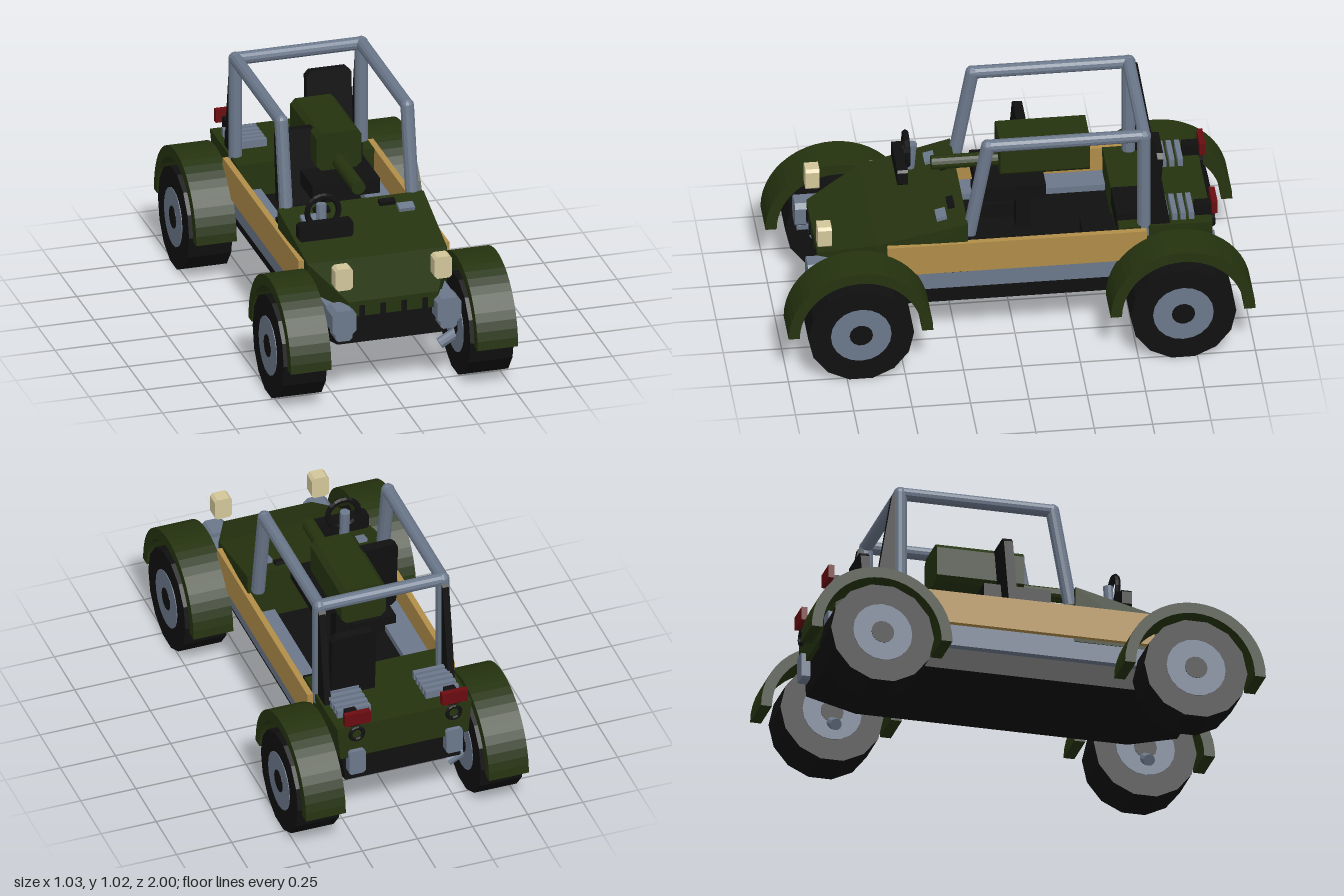
import * as THREE from 'three';
import { ConvexGeometry } from 'three/addons/geometries/ConvexGeometry.js';

const paint = (name, color) => {
  const m = new THREE.MeshStandardMaterial({ color, flatShading: true });
  m.name = name;
  return m;
};

export function createModel() {
  const group = new THREE.Group();
  const green = paint('olive green', 0x25330f);
  const black = paint('black', 0x101010);
  const grey = paint('steel grey', 0x6b788b);
  const tan = paint('tan', 0xb08d49);
  const cream = paint('lamp cream', 0xd2c69a);
  const red = paint('tail red', 0x6a0c10);
  const V = (x, y, z) => new THREE.Vector3(x, y, z);

  const add = (name, geo, mat, x = 0, y = 0, z = 0) => {
    const mesh = new THREE.Mesh(geo, mat);
    mesh.name = name;
    mesh.position.set(x, y, z);
    group.add(mesh);
    return mesh;
  };
  // box given by its limits on each axis
  const box = (name, mat, x0, x1, y0, y1, z0, z1) =>
    add(name, new THREE.BoxGeometry(x1 - x0, y1 - y0, z1 - z0), mat,
      (x0 + x1) / 2, (y0 + y1) / 2, (z0 + z1) / 2);
  // box with its four long corners cut, extruded along z
  const cutBox = (name, mat, x0, x1, y0, y1, z0, z1, c) => {
    const s = new THREE.Shape([[x0 + c, y0], [x1 - c, y0], [x1, y0 + c], [x1, y1 - c],
      [x1 - c, y1], [x0 + c, y1], [x0, y1 - c], [x0, y0 + c]].map(p => new THREE.Vector2(...p)));
    return add(name, new THREE.ExtrudeGeometry(s, { depth: z1 - z0, bevelEnabled: false }), mat, 0, 0, z0);
  };
  // convex solid from symmetric sections [z, halfBottom, yBottom, halfTop, yTop]
  const hull = (name, mat, sections) => add(name, new ConvexGeometry(sections.flatMap(
    ([z, b, y0, t, y1]) => [V(-b, y0, z), V(b, y0, z), V(-t, y1, z), V(t, y1, z)])), mat);
  const rod = (name, mat, a, b, r, sides = 12) => {
    const d = b.clone().sub(a);
    const mesh = add(name, new THREE.CylinderGeometry(r, r, d.length(), sides), mat);
    mesh.position.copy(a).addScaledVector(d, 0.5);
    mesh.quaternion.setFromUnitVectors(V(0, 1, 0), d.normalize());
    return mesh;
  };

  // Chassis, hood and rear deck
  hull('chassisPan', black, [[0.81, 0.24, 0.25, 0.2, 0.4], [0.6, 0.27, 0.21, 0.28, 0.4],
    [-0.6, 0.27, 0.21, 0.28, 0.4], [-0.82, 0.26, 0.26, 0.28, 0.4]]);
  hull('hood', green, [[0.21, 0.315, 0.385, 0.325, 0.635], [0.6, 0.31, 0.385, 0.31, 0.545],
    [0.84, 0.2, 0.385, 0.2, 0.455]]);
  hull('rearDeck', green, [[-0.44, 0.3, 0.39, 0.305, 0.55], [-0.84, 0.29, 0.39, 0.305, 0.55]]);
  for (const x of [-0.14, -0.047, 0.047, 0.14])
    box('grilleSlot', black, x - 0.011, x + 0.011, 0.385, 0.435, 0.838, 0.847);

  // Wheels, fenders and suspension
  const arch = new THREE.Shape();
  arch.absarc(0, 0, 0.31, 0, Math.PI, false);
  arch.absarc(0, 0, 0.262, Math.PI, 0, true);
  const disc = (r, w, n) => new THREE.CylinderGeometry(r, r, w, n).rotateZ(Math.PI / 2);
  const archGeo = new THREE.ExtrudeGeometry(arch, { depth: 0.18, bevelEnabled: false, curveSegments: 12 })
    .translate(0, 0, -0.09).rotateY(Math.PI / 2);
  for (const s of [-1, 1]) {
    for (const z of [-0.69, 0.69]) {
      add('tyre', disc(0.227, 0.194, 14), black, s * 0.415, 0.227, z);
      add('rim', disc(0.13, 0.2, 20), grey, s * 0.415, 0.23, z);
      add('hub', disc(0.05, 0.204, 14), black, s * 0.415, 0.23, z);
      add('fender', archGeo, green, s * 0.415, 0.227, z);
      rod('suspensionArm', grey, V(s * 0.34, 0.19, z), V(s * 0.25, 0.14, z), 0.025, 10);
    }

    // Side panels
    box('sidePanel', tan, s * 0.322 - 0.013, s * 0.322 + 0.013, 0.4, 0.543, -0.555, 0.555);
    box('sill', grey, s * 0.255 - 0.055, s * 0.255 + 0.055, 0.305, 0.43, -0.55, 0.55);

    // Front frame ends, beams and lamps
    cutBox('frontBracket', grey, s * 0.233 - 0.053, s * 0.233 + 0.053, 0.325, 0.44, 0.79, 0.89, 0.02);
    cutBox('bracketFoot', grey, s * 0.233 - 0.037, s * 0.233 + 0.037, 0.295, 0.34, 0.8, 0.88, 0.012);
    box('frontBeam', grey, s * 0.25 - 0.03, s * 0.25 + 0.03, 0.36, 0.42, 0.52, 0.8);
    cutBox('headlight', cream, s * 0.22 - 0.039, s * 0.22 + 0.039, 0.515, 0.615, 0.785, 0.845, 0.012);

    // Hood fittings
    const vent = box('hoodVent', black, s * 0.145 - 0.035, s * 0.145 + 0.035, 0.62, 0.64, 0.25, 0.28);
    vent.rotation.x = 0.23;
    const latch = box('hoodLatch', grey, s * 0.215 - 0.035, s * 0.215 + 0.035, 0.605, 0.628, 0.29, 0.335);
    latch.rotation.x = 0.23;

    // Rear fittings
    box('tailLight', red, s * 0.22 - 0.058, s * 0.22 + 0.058, 0.573, 0.632, -0.865, -0.84);
    box('tailLightStalk', black, s * 0.225 - 0.025, s * 0.225 + 0.025, 0.55, 0.6, -0.84, -0.77);
    add('towRing', new THREE.TorusGeometry(0.03, 0.009, 6, 14), black, s * 0.22, 0.515, -0.85);
    cutBox('rearBracket', grey, s * 0.22 - 0.037, s * 0.22 + 0.037, 0.31, 0.43, -0.86, -0.8, 0.01);
    for (let i = 0; i < 5; i++)
      box('engineSlat', grey, s * 0.2 - 0.075, s * 0.2 + 0.075, 0.55, 0.585, -0.765 + i * 0.036, -0.743 + i * 0.036);

    // Roll cage side with rear gusset
    const x = s * 0.28, top = 1.0;
    const a = V(x, 0.5, -0.55), b = V(x, top, -0.55), c = V(x, top, 0.12), d = V(x, 0.56, 0.2);
    rod('rearPost', grey, a, b, 0.03);
    rod('topBar', grey, b, c, 0.028);
    rod('frontPost', grey, c, d, 0.03);
    for (const p of [b, c]) add('cageJoint', new THREE.SphereGeometry(0.03, 12, 8), grey, p.x, p.y, p.z);
    add('gusset', new ConvexGeometry([-0.015, 0.015].flatMap(o =>
      [V(x + o, 1.0, -0.565), V(x + o, 0.98, -0.59), V(x + o, 0.55, -0.66), V(x + o, 0.55, -0.565)])), black);
  }
  rod('rearCrossbar', grey, V(-0.28, 1.0, -0.55), V(0.28, 1.0, -0.55), 0.028);

  // Driver and rear seats
  const seatBack = (name, x, z) => {
    const m = cutBox(name, black, -0.1, 0.1, 0, 0.34, -0.02, 0.02, 0.02);
    m.position.set(x, 0.53, z);
    m.rotation.x = -0.08;
  };
  seatBack('driverSeatBack', -0.15, -0.06);
  box('driverSeat', black, -0.25, -0.05, 0.4, 0.47, -0.06, 0.13);
  seatBack('rearSeatBack', 0.15, -0.61);
  box('rearSeat', black, 0.05, 0.25, 0.5, 0.585, -0.57, -0.435);
  box('rearFootwell', black, 0.05, 0.26, 0.4, 0.45, -0.44, -0.3);

  // Dashboard and steering wheel
  cutBox('dashboard', black, -0.305, -0.065, 0.585, 0.66, 0.42, 0.465, 0.01);
  rod('steeringColumn', grey, V(-0.185, 0.6, 0.4), V(-0.185, 0.72, 0.39), 0.022, 10);
  add('steeringWheel', new THREE.TorusGeometry(0.07, 0.013, 6, 18), black, -0.185, 0.695, 0.415);

  // Mounted turret
  box('turretPost', black, -0.035, 0.035, 0.38, 0.715, -0.095, -0.03);
  box('turretMount', black, -0.15, 0.15, 0.622, 0.69, -0.145, 0.15);
  cutBox('turretBody', green, -0.1, 0.1, 0.708, 0.88, -0.34, 0.045, 0.022);
  rod('turretBarrel', green, V(0, 0.742, 0.03), V(0, 0.742, 0.33), 0.031, 14);

  return group;
}
